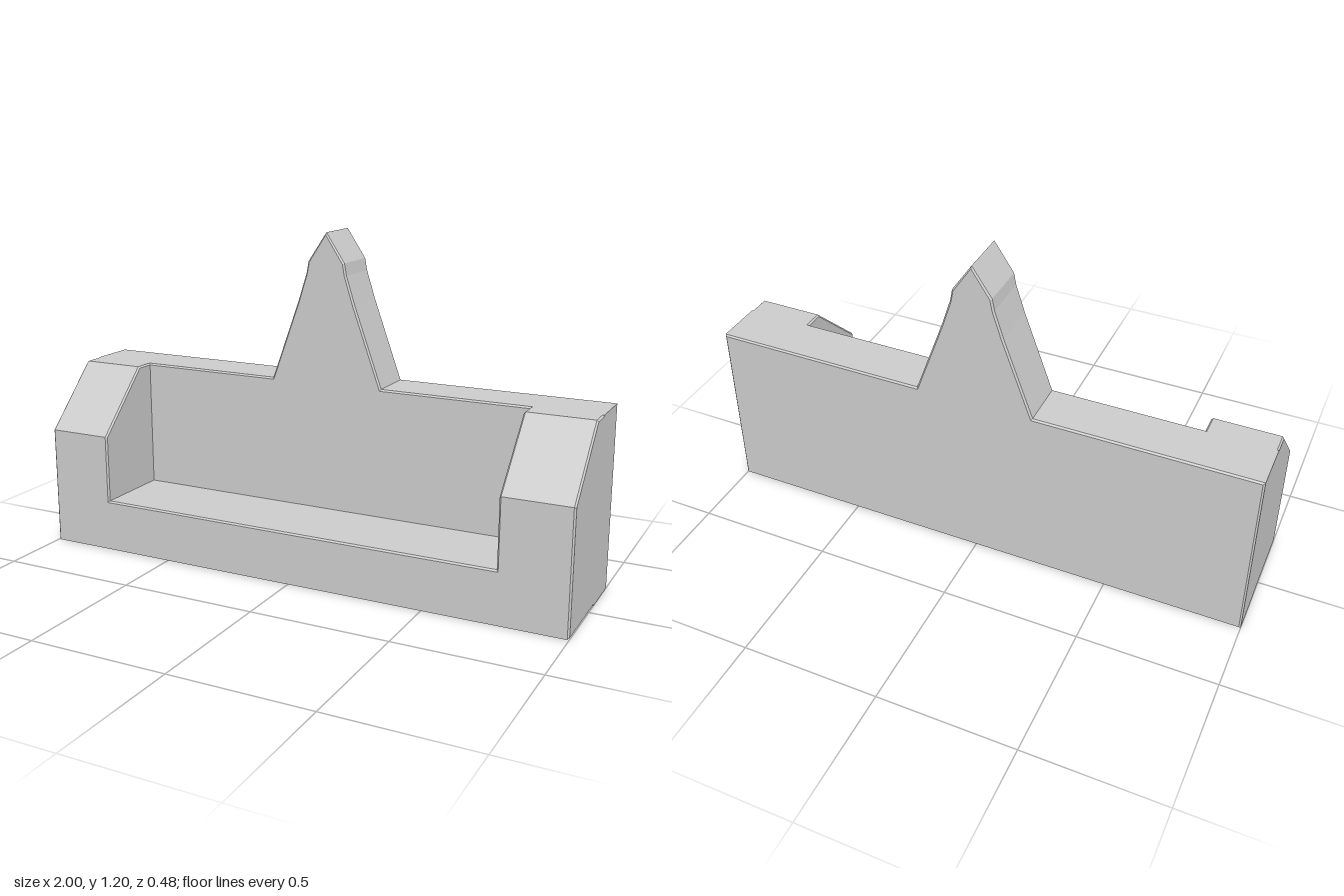
import * as THREE from 'three';

const BEVEL = 0.006;
const material = new THREE.MeshStandardMaterial({ color: 0xcccccc, flatShading: true });

// Extrudes an outline to an exact depth (from z = 0), optionally with a fine edge bevel
function slab(points, depth, bevel = BEVEL) {
  const shape = new THREE.Shape(points.map(([x, y]) => new THREE.Vector2(x, y)));
  const geometry = new THREE.ExtrudeGeometry(shape, {
    depth: depth - 2 * bevel,
    bevelEnabled: bevel > 0,
    bevelThickness: bevel,
    bevelSize: bevel,
    bevelOffset: -bevel,
    bevelSegments: 1,
  });
  return geometry.translate(0, 0, bevel);
}

// Same, but the outline is given as [z, y] and runs along x, ending at xMax
function crossSlab(points, width, xMax, bevel) {
  return slab(points, width, bevel).rotateY(-Math.PI / 2).translate(xMax, 0, 0);
}

export function createModel() {
  const group = new THREE.Group();
  const add = (name, geometry) => {
    const mesh = new THREE.Mesh(geometry, material);
    mesh.name = name;
    group.add(mesh);
  };

  const top = 0.66, back = -0.238, front = 0.238, recessBack = -0.055, recessX = 0.755;

  // Back plate rising into a pointed central fin
  const finSide = [[0.215, top], [0.11, 0.95], [0.078, 1.05], [0.07, 1.093]];
  const mirrored = finSide.map(([x, y]) => [-x, y]).reverse();
  const plate = [[-1, 0], [1, 0], [1, top], ...finSide, [0, 1.197], ...mirrored, [-1, top]];
  add('backPlateWithFin', slab(plate, recessBack - back).translate(0, 0, back));

  // End blocks with a sloped front top edge
  const endProfile = [[back + BEVEL, 0], [front, 0], [front, 0.437], [0.015, top], [back + BEVEL, top]];
  const endWidth = 1 - recessX;
  add('leftEndBlock', crossSlab(endProfile, endWidth, 1));
  add('rightEndBlock', crossSlab(endProfile, endWidth, -recessX));

  // Recess floor, overlapping into the end blocks, with a bevelled front lip
  const floorY = 0.19;
  const floorProfile = [[back + BEVEL, 0], [front, 0], [front, floorY - BEVEL], [front - BEVEL, floorY], [back + BEVEL, floorY]];
  add('recessFloor', crossSlab(floorProfile, 1.96, 0.98, 0));

  return group;
}
